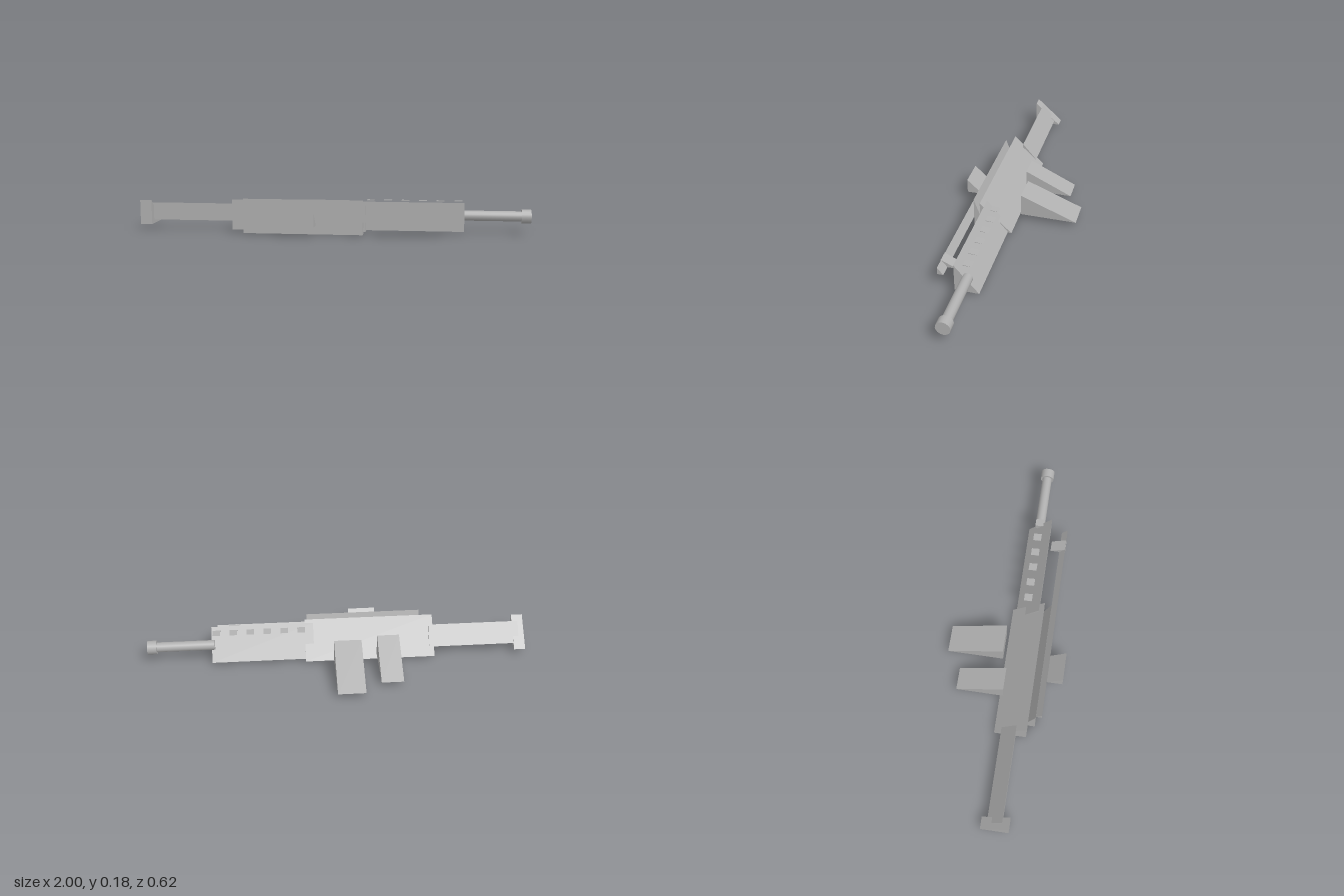
import * as THREE from 'three';

export function createModel() {
  const model = new THREE.Group();
  model.name = 'rifle';
  const grey = new THREE.MeshStandardMaterial({ color: 0xb0b0b0 });
  grey.name = 'plain grey';

  function add(name, geometry) {
    const mesh = new THREE.Mesh(geometry, grey);
    mesh.name = name;
    model.add(mesh);
    return mesh;
  }

  // Right-angled wedge along x: upright face at zFront, flat base, slope falling to zBack
  function wedge(name, x0, x1, y0, y1, zFront, zBack) {
    const section = new THREE.Shape([
      new THREE.Vector2(-zFront, y0),
      new THREE.Vector2(-zBack, y0),
      new THREE.Vector2(-zFront, y1),
    ]);
    const geometry = new THREE.ExtrudeGeometry(section, { depth: x1 - x0, bevelEnabled: false });
    geometry.rotateY(Math.PI / 2);
    geometry.translate(x0, 0, 0);
    return add(name, geometry);
  }

  // Round part lying along x
  function tube(name, x0, x1, radius) {
    const geometry = new THREE.CylinderGeometry(radius, radius, x1 - x0, 16);
    geometry.rotateZ(Math.PI / 2);
    geometry.translate((x0 + x1) / 2, 0.09, 0.075);
    return add(name, geometry);
  }

  // Stock and butt
  wedge('buttPlate', -1, -0.94, 0.028, 0.155, 0.146, 0.003);
  wedge('stock', -0.97, -0.485, 0.048, 0.138, 0.11, 0.033);

  // Body
  wedge('receiver', -0.51, 0.175, 0.012, 0.167, 0.163, -0.003);
  wedge('sidePlate', -0.445, 0.163, 0, 0.176, 0.199, 0.135);
  wedge('foreEnd', 0.13, 0.667, 0.016, 0.162, 0.137, 0.016);

  // Side rail with its handle and sight block
  wedge('sideRail', -0.412, 0.642, 0.07, 0.108, 0.229, 0.199);
  wedge('railHandle', 0.525, 0.582, 0.07, 0.108, 0.231, 0.151);
  wedge('sightBlock', -0.215, -0.07, 0.051, 0.127, 0.31, 0.228);

  // Grip and magazine
  wedge('grip', -0.315, -0.2, 0.031, 0.148, 0.016, -0.231);
  wedge('magazine', -0.115, 0.028, 0.031, 0.148, -0.015, -0.308);

  // Thin vents above and below the fore-end
  for (let i = 0; i < 6; i++) {
    const x = 0.175 + i * 0.0885;
    wedge('upperVent', x, x + 0.04, 0.163, 0.167, 0.094, 0.052);
    wedge('lowerVent', x, x + 0.04, 0.012, 0.016, 0.094, 0.052);
  }

  // Barrel
  tube('barrel', 0.65, 0.96, 0.026);
  tube('muzzle', 0.953, 1, 0.036);

  return model;
}
